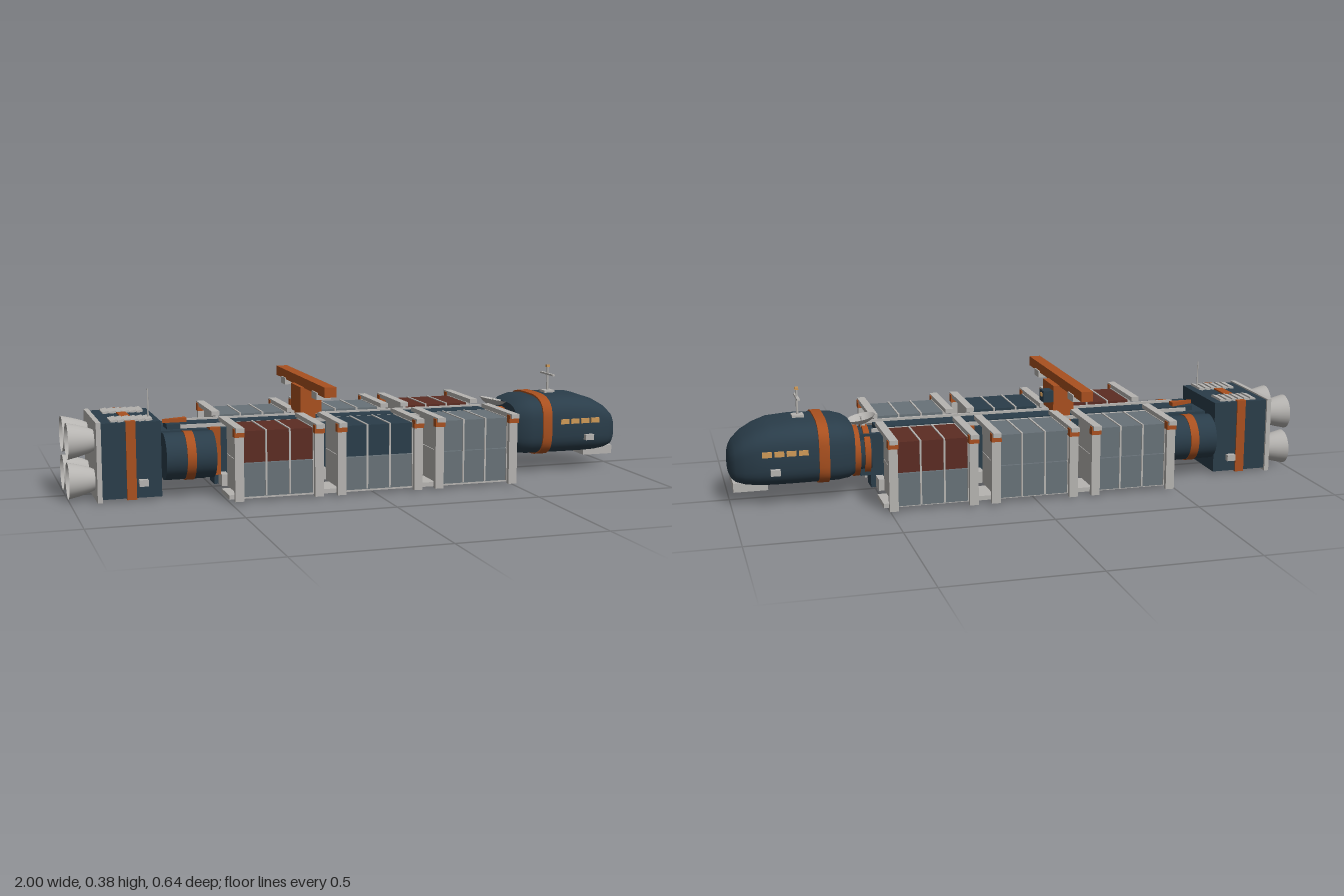
import * as THREE from 'three';
import { toCreasedNormals } from 'three/addons/utils/BufferGeometryUtils.js';

const mat = (name, color, side = THREE.FrontSide) => {
  const m = new THREE.MeshStandardMaterial({ color, side });
  m.name = name;
  return m;
};

export function createModel() {
  const model = new THREE.Group();
  model.name = 'cargoSpaceship';
  const navy = mat('navyHull', 0x2a3d4a);
  const orange = mat('orangeTrim', 0xa9501f);
  const light = mat('lightGrey', 0xb6b4b1, THREE.DoubleSide);
  const grey = mat('slateGrey', 0x687278);
  const red = mat('darkRed', 0x5c2c23);
  const tan = mat('amberWindow', 0xd09a58);

  const add = (name, geo, m, x = 0, y = 0, z = 0, parent = model) => {
    const mesh = new THREE.Mesh(geo, m);
    mesh.name = name;
    mesh.position.set(x, y, z);
    parent.add(mesh);
    return mesh;
  };
  // Box given by its limits on each axis
  const box = (name, m, x0, x1, y0, y1, z0, z1, parent = model) =>
    add(name, new THREE.BoxGeometry(x1 - x0, y1 - y0, z1 - z0), m,
      (x0 + x1) / 2, (y0 + y1) / 2, (z0 + z1) / 2, parent);
  // Box on the side s (+1 or -1) of the ship, z limits given for +z
  const sideBox = (name, m, s, x0, x1, y0, y1, z0, z1, parent = model) =>
    box(name, m, x0, x1, y0, y1, Math.min(s * z0, s * z1), Math.max(s * z0, s * z1), parent);
  // Cylinder lying along x
  const tubeX = (name, m, x0, x1, r, y, z) =>
    add(name, new THREE.CylinderGeometry(r, r, x1 - x0, 28).rotateZ(Math.PI / 2), m, (x0 + x1) / 2, y, z);

  // Rounded hull from superellipse sections [x, half width, bottom, top]
  const hull = (sections, exponent, capped) => {
    const n = 40, pos = [], idx = [];
    for (const [x, w, b, t] of sections) {
      for (let i = 0; i < n; i++) {
        const a = (i / n) * Math.PI * 2, c = Math.cos(a), s = Math.sin(a);
        const p = 2 / exponent;
        pos.push(x, (b + t) / 2 + Math.sign(s) * Math.abs(s) ** p * (t - b) / 2,
          Math.sign(c) * Math.abs(c) ** p * w);
      }
    }
    for (let k = 0; k < sections.length - 1; k++) {
      for (let i = 0; i < n; i++) {
        const j = (i + 1) % n, a = k * n + i, b = k * n + j, c = a + n, d = b + n;
        idx.push(a, c, b, b, c, d);
      }
    }
    if (capped) {
      [0, sections.length - 1].forEach((k) => {
        const [x, , b, t] = sections[k], centre = pos.length / 3;
        pos.push(x, (b + t) / 2, 0);
        for (let i = 0; i < n; i++) {
          const p = k * n + i, q = k * n + (i + 1) % n;
          if (k === 0) idx.push(centre, p, q); else idx.push(centre, q, p);
        }
      });
    }
    const g = new THREE.BufferGeometry();
    g.setAttribute('position', new THREE.Float32BufferAttribute(pos, 3));
    g.setIndex(idx);
    return toCreasedNormals(g, 0.6);
  };

  // Command cabin
  add('cabinHull', hull([
    [0.585, 0.122, 0.078, 0.252], [0.605, 0.138, 0.07, 0.265], [0.64, 0.15, 0.066, 0.275],
    [0.78, 0.152, 0.065, 0.279], [0.86, 0.148, 0.065, 0.273], [0.91, 0.138, 0.066, 0.256],
    [0.95, 0.122, 0.07, 0.234], [0.98, 0.1, 0.078, 0.208], [0.993, 0.08, 0.09, 0.188],
    [1.0, 0.055, 0.105, 0.168]], 3.4, true), navy);
  add('cabinBand', hull([[0.675, 0.15, 0.067, 0.276], [0.675, 0.156, 0.061, 0.282],
    [0.71, 0.156, 0.061, 0.283], [0.71, 0.15, 0.067, 0.277]], 3.4, false), orange);
  box('chinPlate', light, 0.875, 0.99, 0.049, 0.08, -0.076, 0.076);
  for (const s of [1, -1]) {
    for (let i = 0; i < 4; i++) {
      const x = 0.745 + i * 0.04;
      sideBox('cabinWindow', tan, s, x, x + 0.032, 0.181, 0.199, 0.145, 0.1535);
    }
    sideBox('cabinThruster', light, s, 0.84, 0.872, 0.12, 0.14, 0.14, 0.165);
  }

  // Cabin mast
  box('mastBase', light, 0.74, 0.78, 0.275, 0.286, -0.021, 0.021);
  add('mast', new THREE.CylinderGeometry(0.004, 0.004, 0.09, 10), light, 0.76, 0.328, 0);
  box('mastCrossbar', light, 0.755, 0.765, 0.342, 0.348, -0.052, 0.052);
  box('mastTip', tan, 0.754, 0.766, 0.37, 0.379, -0.006, 0.006);

  // Spine, keel, rails and neck
  box('spine', navy, -0.7, 0.56, 0.07, 0.215, -0.062, 0.062);
  box('keel', navy, -0.5, 0.52, 0.018, 0.07, -0.035, 0.035);
  tubeX('neck', navy, 0.52, 0.6, 0.08, 0.145, 0);
  for (const x of [0.525, 0.56]) tubeX('neckRing', orange, x, x + 0.02, 0.088, 0.145, 0);
  for (const x of [-0.505, -0.165, 0.183]) {
    box('spineCollar', orange, x - 0.018, x + 0.018, 0.06, 0.223, -0.087, 0.087);
  }
  for (const s of [1, -1]) sideBox('spineRail', light, s, -0.62, 0.52, 0.222, 0.234, 0.06, 0.07);
  box('spineDuct', navy, -0.66, 0.5, 0.215, 0.232, -0.035, 0.035);

  // Folded boom behind the cargo
  const wedge = new THREE.Shape([[-0.67, 0], [-0.585, 0], [-0.585, 0.032]].map((p) => new THREE.Vector2(...p)));
  add('boomWedge', new THREE.ExtrudeGeometry(wedge, { depth: 0.014, bevelEnabled: false })
    .rotateX(-Math.PI / 2), orange, 0, 0.232, 0);

  // Dish antenna
  const dish = new THREE.Group();
  dish.name = 'dishAntenna';
  dish.position.set(0.54, 0.238, 0);
  dish.rotation.z = -0.2;
  model.add(dish);
  add('dishBowl', new THREE.LatheGeometry([[0, 0], [0.02, 0.003], [0.037, 0.011], [0.05, 0.024]]
    .map((p) => new THREE.Vector2(...p)), 24), light, 0, 0, 0, dish);
  add('dishFeed', new THREE.CylinderGeometry(0.003, 0.003, 0.026, 8), light, 0, 0.013, 0, dish);
  add('dishFoot', new THREE.CylinderGeometry(0.008, 0.012, 0.03, 10), light, 0, -0.013, 0, dish);

  // Cargo bays: two stacked containers between end frames, on both sides
  const upper = { 1: [red, navy, grey], '-1': [grey, grey, red] };
  const centres = [-0.338, 0.01, 0.356];
  for (const s of [1, -1]) {
    centres.forEach((cx, i) => {
      const bay = new THREE.Group();
      bay.name = 'cargoBay';
      model.add(bay);
      const x0 = cx - 0.12, x1 = cx + 0.12;
      sideBox('lowerContainer', grey, s, x0, x1, 0.02, 0.131, 0.088, 0.28, bay);
      sideBox('upperContainer', upper[s][i], s, x0, x1, 0.134, 0.238, 0.088, 0.28, bay);
      for (const f of [-1, 1]) {
        const rx = cx + f * 0.04, px = cx + f * 0.135, ex = cx + f * 0.123;
        sideBox('containerRib', light, s, rx - 0.003, rx + 0.003, 0.022, 0.241, 0.086, 0.283, bay);
        sideBox('lowerEndPlate', light, s, ex - 0.005, ex + 0.005, 0.02, 0.131, 0.087, 0.285, bay);
        sideBox('upperEndPlate', light, s, ex - 0.005, ex + 0.005, 0.133, 0.24, 0.087, 0.285, bay);
        sideBox('framePost', light, s, px - 0.015, px + 0.015, 0.01, 0.225, 0.287, 0.304, bay);
        sideBox('frameCorner', orange, s, px - 0.017, px + 0.017, 0.223, 0.25, 0.284, 0.309, bay);
        sideBox('frameTopBar', light, s, px - 0.014, px + 0.014, 0.24, 0.255, 0.055, 0.32, bay);
        sideBox('frameLowerBar', light, s, px - 0.012, px + 0.012, 0.02, 0.06, 0.034, 0.09, bay);
      }
    });
    sideBox('cargoSkid', light, s, -0.495, 0.515, 0.006, 0.021, 0.128, 0.244);
  }

  // Gantry crane
  box('gantryBeam', orange, -0.187, -0.147, 0.34, 0.374, -0.311, 0.311);
  box('gantryTower', orange, -0.2, -0.125, 0.25, 0.343, -0.063, 0.063);
  box('gantryFoot', orange, -0.187, -0.147, 0.2, 0.25, -0.063, 0.063);
  for (const s of [1, -1]) sideBox('gantryTrolley', light, s, -0.192, -0.142, 0.322, 0.346, 0.174, 0.231);
  box('gantryCab', navy, -0.125, -0.09, 0.285, 0.325, -0.063, -0.013);
  box('gantryCabWindow', tan, -0.092, -0.087, 0.304, 0.316, -0.046, -0.029);

  // Fuel tanks
  for (const s of [1, -1]) {
    tubeX('fuelTank', navy, -0.69, -0.523, 0.079, 0.14, s * 0.12);
    tubeX('fuelTankBand', orange, -0.622, -0.592, 0.082, 0.14, s * 0.12);
  }

  // Engine block
  box('engineBlock', navy, -0.9, -0.7, 0.012, 0.264, -0.15, 0.15);
  box('engineBand', orange, -0.816, -0.784, 0.007, 0.269, -0.155, 0.155);
  box('engineFlange', light, -0.913, -0.897, 0.003, 0.269, -0.159, 0.159);
  for (const s of [1, -1]) {
    sideBox('engineThruster', light, s, -0.777, -0.747, 0.052, 0.074, 0.145, 0.17);
    for (let i = 0; i < 6; i++) {
      const slat = sideBox('radiatorSlat', light, s, -0.862 + i * 0.023, -0.84 + i * 0.023, 0.264, 0.272, 0.055, 0.135);
      slat.rotation.z = 0.2;
    }
  }
  add('whipAntenna', new THREE.CylinderGeometry(0.002, 0.003, 0.1, 8), light, -0.732, 0.315, 0.093);

  // Nozzles
  const bell = new THREE.LatheGeometry([[0.034, 0], [0.043, 0.02], [0.053, 0.055], [0.061, 0.09]]
    .map((p) => new THREE.Vector2(...p)), 28).rotateZ(Math.PI / 2);
  for (const y of [0.068, 0.2]) {
    for (const z of [-0.079, 0.079]) {
      add('nozzle', bell, light, -0.91, y, z);
      tubeX('nozzleThroat', grey, -0.918, -0.91, 0.034, y, z);
    }
  }
  return model;
}
